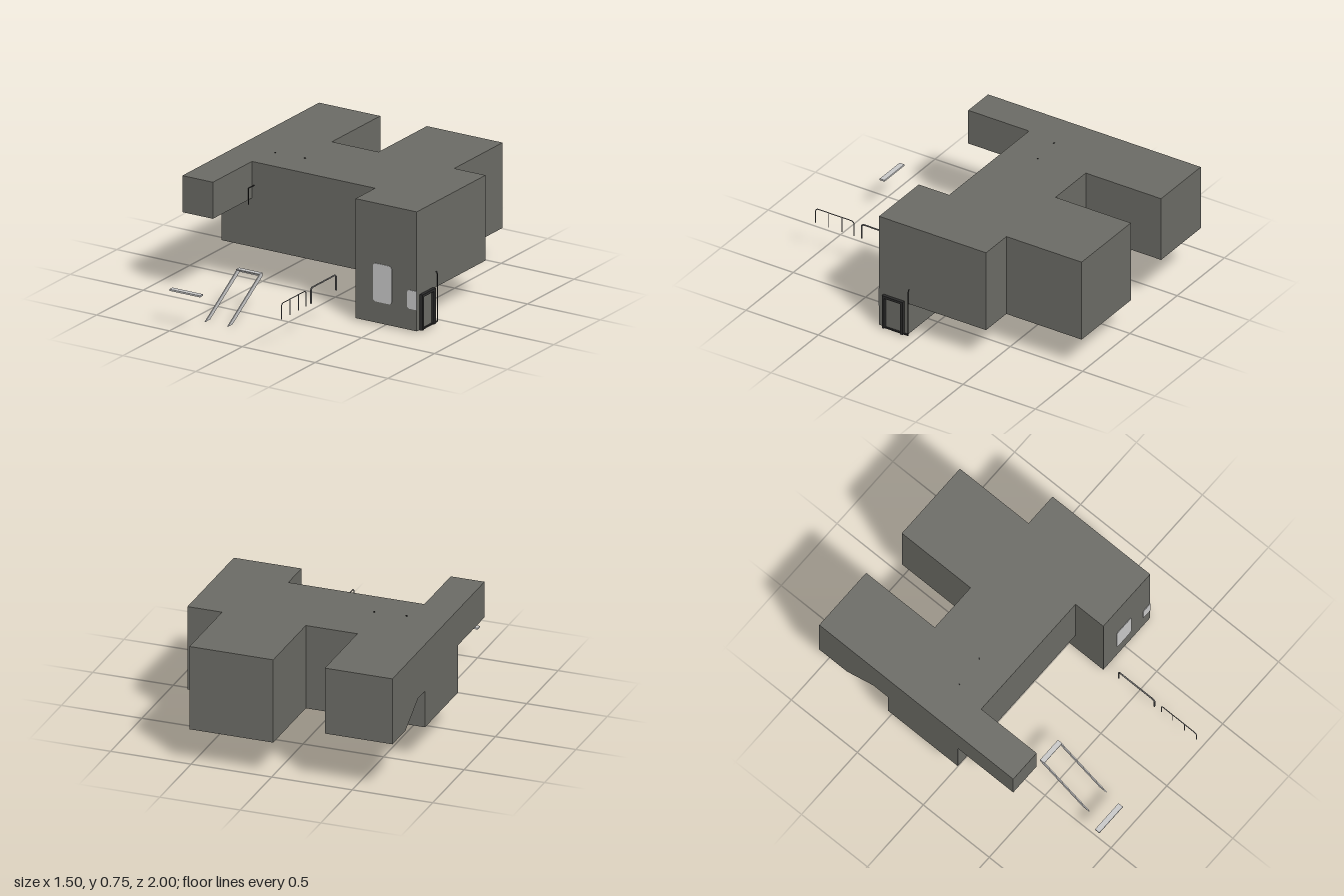
import * as THREE from 'three';

const mat = (name, color, side = THREE.FrontSide) => {
  const m = new THREE.MeshStandardMaterial({ color, side });
  m.name = name;
  return m;
};

export function createModel() {
  const root = new THREE.Group();
  const wall = mat('wallGrey', 0x6b6b65);
  const pale = mat('paleGrey', 0xc8c8c8);
  const steel = mat('railGrey', 0x777777);
  const dark = mat('darkMetal', 0x2a2a2a);

  const add = (name, geo, m) => {
    const mesh = new THREE.Mesh(geo, m);
    mesh.name = name;
    root.add(mesh);
    return mesh;
  };
  // box from its limits
  const box = (name, m, x0, x1, y0, y1, z0, z1) => {
    const g = new THREE.BoxGeometry(x1 - x0, y1 - y0, z1 - z0);
    g.translate((x0 + x1) / 2, (y0 + y1) / 2, (z0 + z1) / 2);
    return add(name, g, m);
  };
  // floor plan of [x, z] points raised from y0 to y1
  const plan = (name, m, pts, y0, y1) => {
    const s = new THREE.Shape(pts.map(([x, z]) => new THREE.Vector2(x, -z)));
    const g = new THREE.ExtrudeGeometry(s, { depth: y1 - y0, bevelEnabled: false });
    g.rotateX(-Math.PI / 2).translate(0, y0, 0);
    return add(name, g, m);
  };
  // side profile of [z, y] points widened from x0 to x1
  const profile = (name, m, pts, x0, x1) => {
    const s = new THREE.Shape(pts.map(([z, y]) => new THREE.Vector2(z, y)));
    const g = new THREE.ExtrudeGeometry(s, { depth: x1 - x0, bevelEnabled: false });
    g.rotateY(-Math.PI / 2).translate(x1, 0, 0);
    return add(name, g, m);
  };
  // bent round bar through the given points
  const bar = (name, m, pts, r) => {
    const path = new THREE.CurvePath();
    const v = pts.map((p) => new THREE.Vector3(...p));
    for (let i = 1; i < v.length; i++) path.add(new THREE.LineCurve3(v[i - 1], v[i]));
    return add(name, new THREE.TubeGeometry(path, 24 * (v.length - 1), r, 6), m);
  };

  // upper storey
  const top = 0.745, floor = 0.22;
  plan('upperStorey', wall, [
    [-0.75, 0.05], [0.305, 0.05], [0.305, 0.26], [0.725, 0.26], [0.725, -0.48],
    [0.51, -0.48], [0.51, -1], [-0.01, -1], [-0.01, -0.48], [-0.75, -0.48],
  ], floor, top);
  box('frontArm', wall, -0.75, -0.54, 0.52, top, 0.05, 0.47);

  // rear wing with a raised soffit over its stairs
  profile('stairWing', wall, [
    [-1, 0.33], [-0.79, 0.33], [-0.59, 0.45], [-0.48, 0.45], [-0.48, top], [-1, top],
  ], -0.75, -0.33);
  for (let i = 0; i < 7; i++) {
    const z = -0.49 - i * 0.035, y = 0.225 + i * 0.02;
    box('rearStairTread', wall, -0.64, -0.43, y, y + 0.008, z - 0.03, z);
  }

  // ground floor entrance, with the open corner behind it
  plan('groundFloor', wall, [
    [0.305, 0.26], [0.725, 0.26], [0.725, 0.06], [0.425, 0.06], [0.425, -0.26], [0.305, -0.26],
  ], 0.01, floor);
  const stringer = [[0.1, 0.005], [0.05, 0.005], [-0.26, 0.195], [-0.26, 0.22], [-0.24, 0.22]];
  profile('sideStairStringer', wall, stringer, 0.425, 0.433);

  // rounded window plates
  const windowPlate = (x0, x1, y0, y1, r, rRight) => {
    const s = new THREE.Shape();
    s.moveTo(x0 + r, y0);
    s.lineTo(x1 - rRight, y0);
    if (rRight) s.quadraticCurveTo(x1, y0, x1, y0 + rRight);
    s.lineTo(x1, y1 - rRight);
    if (rRight) s.quadraticCurveTo(x1, y1, x1 - rRight, y1);
    s.lineTo(x0 + r, y1);
    s.quadraticCurveTo(x0, y1, x0, y1 - r);
    s.lineTo(x0, y0 + r);
    s.quadraticCurveTo(x0, y0, x0 + r, y0);
    const g = new THREE.ExtrudeGeometry(s, { depth: 0.003, bevelEnabled: false });
    add('window', g.translate(0, 0, 0.26), pale);
  };
  windowPlate(0.425, 0.555, 0.14, 0.375, 0.025, 0.025);
  windowPlate(0.66, 0.725, 0.14, 0.255, 0.02, 0);

  // side door frame and its post
  box('doorJamb', dark, 0.725, 0.745, 0.008, 0.225, 0.212, 0.228);
  box('doorJamb', dark, 0.725, 0.745, 0.008, 0.225, 0.085, 0.103);
  box('doorHead', dark, 0.725, 0.745, 0.212, 0.228, 0.085, 0.228);
  box('doorSill', dark, 0.725, 0.735, 0.006, 0.014, 0.055, 0.228);
  bar('cornerPost', dark, [[0.735, 0.01, 0.053], [0.735, 0.3, 0.053], [0.73, 0.315, 0.053], [0.722, 0.315, 0.053]], 0.003);

  // handrail under the front arm
  bar('wallHandrail', dark, [[-0.527, 0.5, 0.11], [-0.527, 0.6, 0.11], [-0.527, 0.6, 0.05], [-0.515, 0.6, 0.045]], 0.003);

  // free-standing railings
  const railing = (z0, z1, r, posts) => {
    const x = 0.267, h = 0.316;
    bar('railing', steel, [[x, 0.22, z0], [x, h - 0.012, z0], [x, h, z0 + 0.012],
      [x, h, z1 - 0.012], [x, h - 0.012, z1], [x, 0.22, z1]], r);
    for (const z of posts) bar('railingPost', steel, [[x, 0.22, z], [x, h, z]], r);
  };
  railing(0.41, 0.68, 0.005, []);
  railing(0.733, 0.997, 0.003, [0.815, 0.907]);

  // outdoor stair: two stringers and a landing edge
  const slope = [[0.76, 0], [0.71, 0], [0.39, 0.197], [0.39, 0.22], [0.41, 0.22]];
  for (const x of [-0.412, -0.258]) profile('frontStairStringer', pale, slope, x, x + 0.006);
  box('frontStairLanding', pale, -0.412, -0.252, 0.197, 0.22, 0.388, 0.394);
  box('frontStairTopTread', pale, -0.412, -0.252, 0.214, 0.22, 0.388, 0.42);

  // loose front step
  box('frontStep', pale, -0.537, -0.327, 0.222, 0.232, 0.91, 0.943);

  // small roof fittings
  for (const [x, z] of [[-0.505, -0.145], [-0.31, -0.16]]) {
    add('roofFitting', new THREE.CylinderGeometry(0.005, 0.005, 0.005, 8).translate(x, top + 0.0015, z), dark);
  }
  return root;
}
